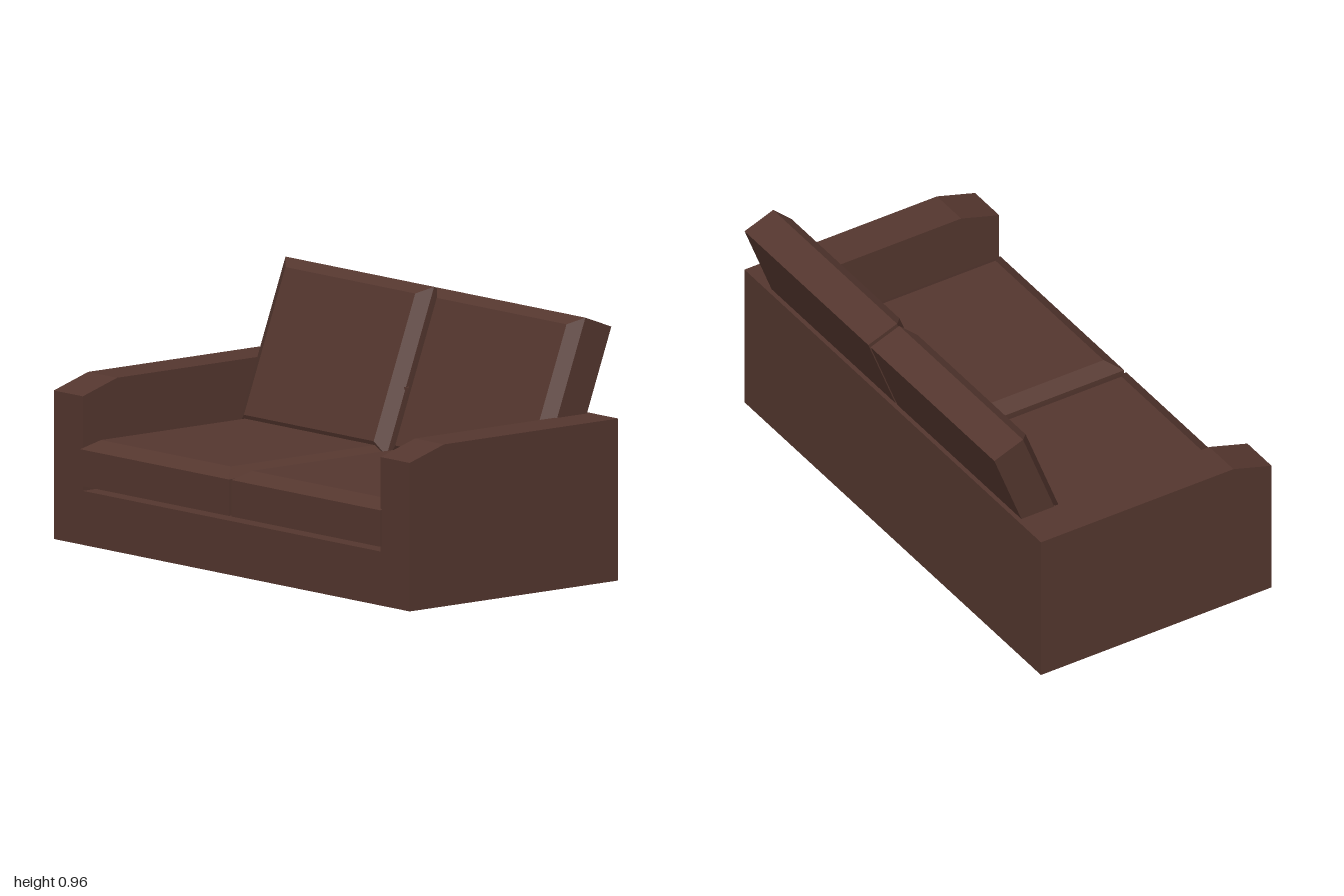
import * as THREE from 'three';

const FRONT = 0.545, BACK = -0.455, ARM_IN = 0.837;

// Extrudes a side profile of [z, y] points from x = x0 to x = x1
function sideExtrude(points, x0, x1) {
  const shape = new THREE.Shape(points.map(([z, y]) => new THREE.Vector2(z, y)));
  const geo = new THREE.ExtrudeGeometry(shape, { depth: x1 - x0, bevelEnabled: false });
  geo.rotateY(-Math.PI / 2);
  geo.translate(x1, 0, 0);
  return geo;
}

// Block resting on y = 0 whose upper rim slopes in on all four sides
function cushionGeometry(width, height, length, bevelHeight, insetX, insetZ) {
  const geo = new THREE.BoxGeometry(width, height, length, 1, 2, 1).toNonIndexed();
  const p = geo.attributes.position;
  for (let i = 0; i < p.count; i++) {
    const x = p.getX(i), y = p.getY(i), z = p.getZ(i);
    if (y > 0.01) {
      p.setXYZ(i, x - Math.sign(x) * insetX, height, z - Math.sign(z) * insetZ);
    } else {
      p.setY(i, y < -0.01 ? 0 : height - bevelHeight);
    }
  }
  geo.computeVertexNormals();
  return geo;
}

export function createModel() {
  const model = new THREE.Group();
  model.name = 'sofa';
  const leather = new THREE.MeshStandardMaterial({ color: 0x55372f });
  leather.name = 'brown leather';

  const add = (name, geo) => {
    const mesh = new THREE.Mesh(geo, leather);
    mesh.name = name;
    model.add(mesh);
    return mesh;
  };

  // Base and backrest frame as one L-shaped profile between the arms
  add('baseAndBackFrame', sideExtrude([
    [BACK, 0], [FRONT, 0], [FRONT, 0.2], [-0.29, 0.2], [-0.29, 0.6], [BACK, 0.6],
  ], -ARM_IN, ARM_IN));

  // Arms with a sloped front top
  const armProfile = [[BACK, 0], [FRONT, 0], [FRONT, 0.55], [0.38, 0.6], [BACK, 0.6]];
  add('leftArm', sideExtrude(armProfile, ARM_IN, 1));
  add('rightArm', sideExtrude(armProfile, -1, -ARM_IN));

  // Seat and leaning back cushions, one pair per side
  const seatGeo = cushionGeometry(0.835, 0.17, 0.835, 0.035, 0.053, 0.055);
  const backGeo = cushionGeometry(0.835, 0.166, 0.643, 0.033, 0.053, 0.041);
  for (const [side, x] of [['left', 0.4275], ['right', -0.4225]]) {
    add(side + 'SeatCushion', seatGeo).position.set(x, 0.22, 0.1375);
    const back = add(side + 'BackCushion', backGeo);
    back.position.set(x, 0.608, -0.44);
    back.rotation.x = THREE.MathUtils.degToRad(69.2);
  }

  return model;
}
